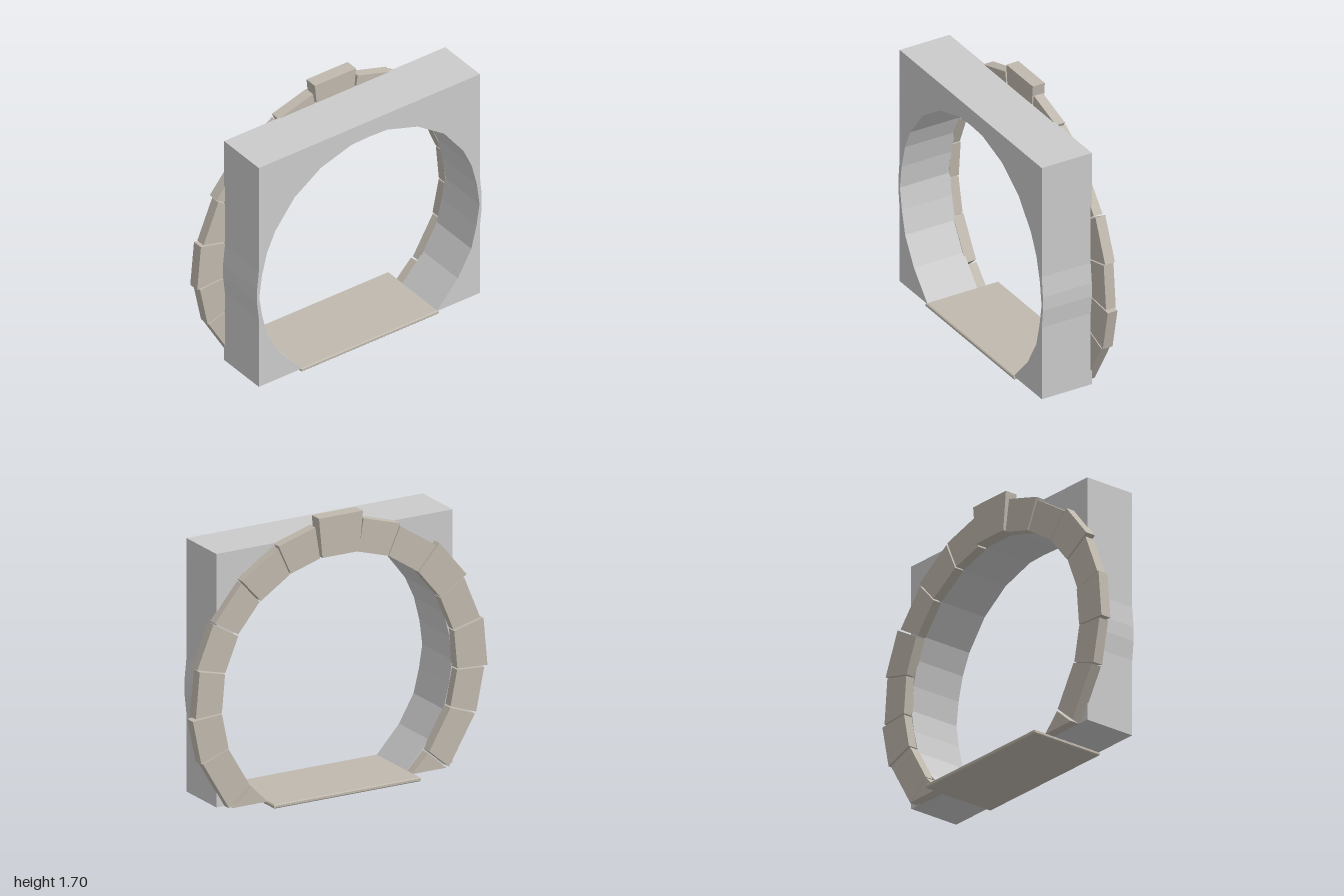
import * as THREE from 'three';

const CY = 0.66; // height of the arch centre
const WALL_BACK = -0.1;

const grey = new THREE.MeshStandardMaterial({ color: 0xcccccc });
const stoneMat = new THREE.MeshStandardMaterial({ color: 0xc0b9ae, flatShading: true });

// Prism from an outline in the xy plane, between two z depths
function prism(name, points, z0, z1, material) {
  const shape = new THREE.Shape(points.map(([x, y]) => new THREE.Vector2(x, y)));
  const geo = new THREE.ExtrudeGeometry(shape, { depth: z1 - z0, bevelEnabled: false });
  geo.translate(0, 0, z0);
  const mesh = new THREE.Mesh(geo, material);
  mesh.name = name;
  return mesh;
}

const polar = (deg, r) => {
  const a = THREE.MathUtils.degToRad(deg);
  return [r * Math.cos(a), CY + r * Math.sin(a)];
};
const mirror = (pts) => pts.map(([x, y]) => [-x, y]).reverse();

export function createModel() {
  const model = new THREE.Group();

  // Wall block, pierced by a round opening that is cut off at the floor
  const outer = [[0.8, 0.02], [0.8, 0.5], [0.813, 0.62], [0.813, 0.71], [0.8, 0.84], [0.8, 1.575]];
  const inner = [[0.13, 1.46], [0.35, 1.39], [0.54, 1.26], [0.68, 1.08], [0.74, 0.95],
    [0.778, 0.8], [0.797, 0.65], [0.775, 0.51], [0.738, 0.36], [0.64, 0.19], [0.485, 0.02]];
  const outline = [...outer, ...mirror(outer), ...mirror(inner), [0, 1.465], ...inner];
  model.add(prism('wall', outline, WALL_BACK, 0.24, grey));

  // Wedge stones down both sides: boundary angles, outer radii, back depths
  const angles = [81, 65.5, 48, 31, 14, -3.5, -20, -41];
  const sides = [
    { name: 'left', sign: 1, radii: [0.997, 0.99, 0.98, 0.994, 0.975, 0.995, 0.982],
      depth: [0.153, 0.155, 0.15, 0.158, 0.158, 0.158, 0.152] },
    { name: 'right', sign: -1, radii: [1.0, 0.985, 1.007, 0.985, 1.002, 0.982, 0.975],
      depth: [0.16, 0.155, 0.158, 0.153, 0.16, 0.158, 0.162] },
  ];
  const gap = 0.3; // half the joint, in degrees
  for (const { name, sign, radii, depth } of sides) {
    const arch = new THREE.Group();
    arch.name = name + 'ArchStones';
    const add = (label, pts, back) =>
      arch.add(prism(label, sign > 0 ? pts : mirror(pts), -back, -0.092, stoneMat));
    radii.forEach((r, i) => {
      const a = angles[i] - gap, b = angles[i + 1] + gap;
      add('archStone' + (i + 1), [polar(b, 0.798), polar(b, r), polar(a, r), polar(a, 0.798)], depth[i]);
    });
    // Foot stone, cut level with the floor
    add('footStone', [[0.49, 0.02], [0.725, 0.02], polar(-41.6, 0.94), polar(-41.6, 0.798)], 0.16);
    model.add(arch);
  }

  // Keystone at the crown
  model.add(prism('keystone', [[-0.125, 1.456], [0.125, 1.456], [0.149, 1.7], [-0.149, 1.7]],
    -0.174, -0.092, stoneMat));

  // Floor slab with a small bevelled rim
  const b = 0.006, hx = 0.497 - b, hz = 0.247 - b;
  const slabShape = new THREE.Shape([[-hx, -hz], [hx, -hz], [hx, hz], [-hx, hz]]
    .map(([x, y]) => new THREE.Vector2(x, y)));
  const slabGeo = new THREE.ExtrudeGeometry(slabShape,
    { depth: 0.025 - 2 * b, bevelThickness: b, bevelSize: b, bevelSegments: 1 });
  slabGeo.rotateX(-Math.PI / 2).translate(0, b, 0);
  const slab = new THREE.Mesh(slabGeo, stoneMat);
  slab.name = 'floorSlab';
  model.add(slab);

  return model;
}
